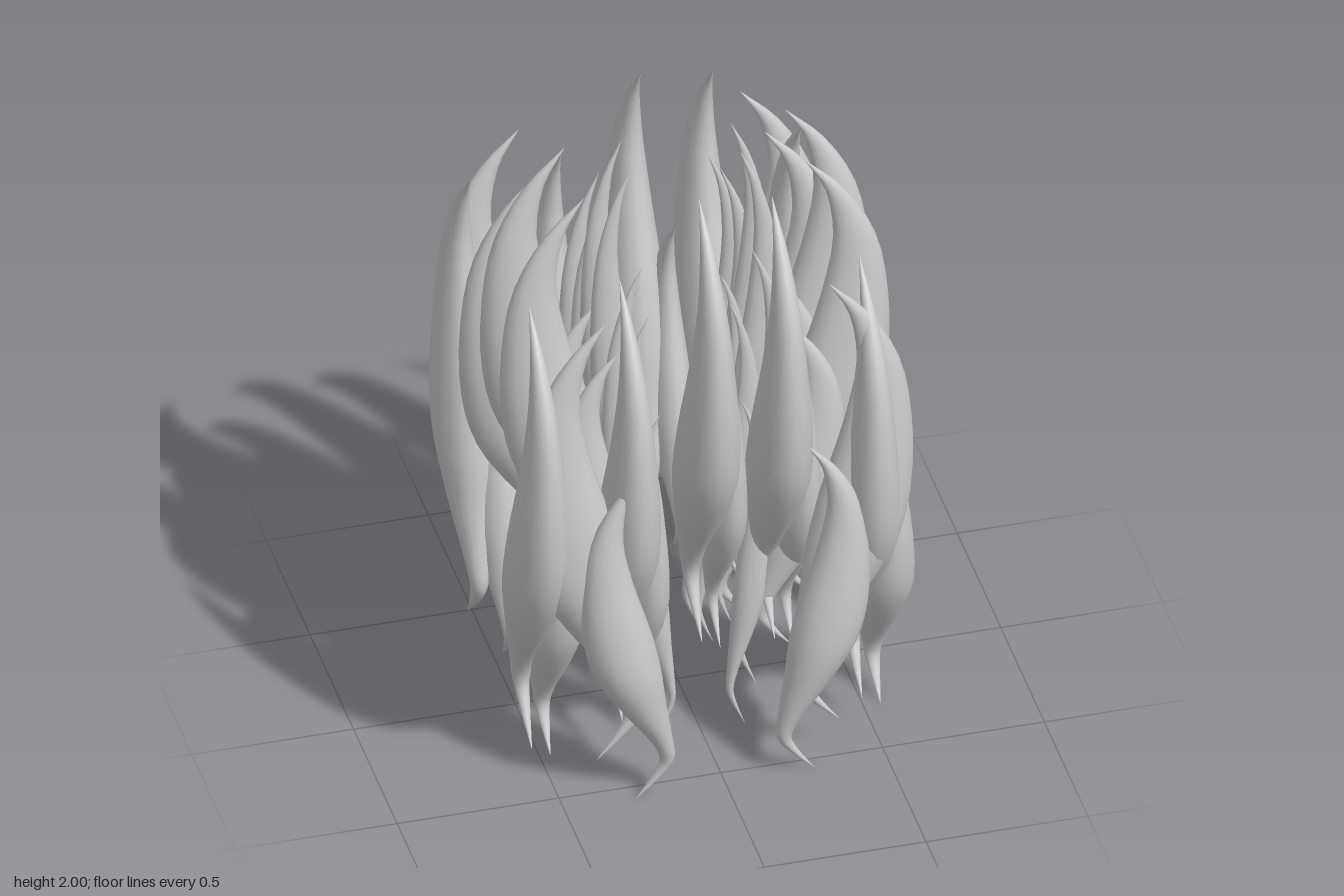
import * as THREE from 'three';

// Lock cross-sections from top tip to tail: [height, outward offset, half width, half depth]
const SECTIONS = [
  [2.0, 0.345, 0.001, 0.001],
  [1.88, 0.435, 0.02, 0.028],
  [1.7, 0.495, 0.042, 0.065],
  [1.48, 0.495, 0.065, 0.105],
  [1.22, 0.455, 0.09, 0.142],
  [1.03, 0.41, 0.095, 0.138],
  [0.85, 0.345, 0.072, 0.095],
  [0.68, 0.272, 0.042, 0.048],
  [0.58, 0.247, 0.027, 0.03],
  [0.5, 0.29, 0.017, 0.019],
  [0.4, 0.375, 0.001, 0.001],
];

// Loft elliptical rings along the curved centre line
function lockGeometry(sides = 16, rings = 30) {
  const centre = new THREE.CatmullRomCurve3(SECTIONS.map(s => new THREE.Vector3(0, s[0], s[1])));
  const radii = new THREE.CatmullRomCurve3(SECTIONS.map(s => new THREE.Vector3(s[2], s[3], s[0])));
  const pos = [], index = [];
  for (let i = 0; i <= rings; i++) {
    const c = centre.getPoint(i / rings), r = radii.getPoint(i / rings);
    for (let j = 0; j < sides; j++) {
      const a = (j / sides) * Math.PI * 2;
      pos.push(Math.cos(a) * Math.max(r.x, 0.001), c.y, c.z + Math.sin(a) * Math.max(r.y, 0.001));
      if (i === rings) continue;
      const p = i * sides + j, q = i * sides + (j + 1) % sides;
      index.push(p, q, p + sides, q, q + sides, p + sides);
    }
  }
  const g = new THREE.BufferGeometry();
  g.setAttribute('position', new THREE.Float32BufferAttribute(pos, 3));
  g.setIndex(index);
  g.computeVertexNormals();
  return g;
}

// Locks along one side: [position along the side, drop, width of the short lock beside it]
const LOCKS = [
  [-0.55, 0.296, 0.9],
  [-0.27, 0.25, 0.75],
  [-0.025, 0, 0.7],
  [0.2, 0.03, 0.75],
  [0.47, 0.296, 0.95],
];

export function createModel() {
  const model = new THREE.Group();
  model.name = 'hairLocks';
  const geometry = lockGeometry();
  const material = new THREE.MeshStandardMaterial({ color: 0xcccccc, side: THREE.DoubleSide });

  // One side: each long lock has a shorter one tucked beside it
  function row(name, angle, dir, z = 0, scale = 1) {
    const group = new THREE.Group();
    group.name = name;
    for (const [u, drop, shortWidth] of LOCKS) {
      const long = new THREE.Mesh(geometry, material);
      long.name = 'longLock';
      long.position.set(u * dir, -drop, 0);
      const short = new THREE.Mesh(geometry, material);
      short.name = 'shortLock';
      short.position.set((u + 0.083) * dir, -drop, 0);
      short.scale.set(shortWidth, 0.74, 0.74);
      group.add(long, short);
    }
    group.rotation.y = angle;
    group.position.z = z;
    group.scale.set(scale, 1, scale);
    model.add(group);
  }

  // Outer square of four sides
  row('frontLocks', 0, 1);
  row('backLocks', Math.PI, -1, 0.015);
  row('leftLocks', Math.PI / 2, -1, -0.008);
  row('rightLocks', -Math.PI / 2, 1, 0.008);
  // Slim inner rows on the left and right
  row('innerLeftLocks', Math.PI / 2, -1, 0, 0.49);
  row('innerRightLocks', -Math.PI / 2, 1, 0, 0.49);
  return model;
}
